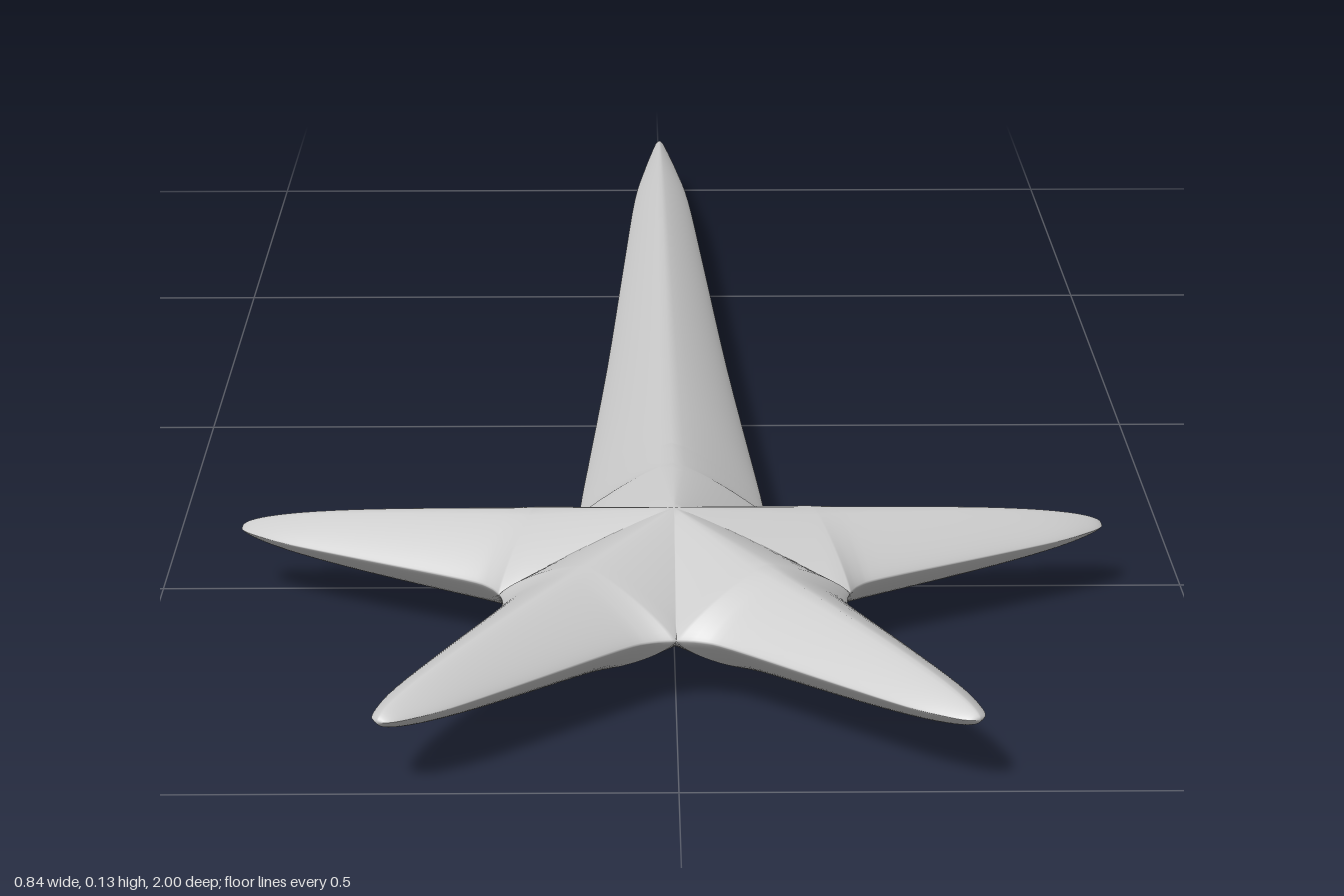
import * as THREE from 'three';
import { mergeGeometries, mergeVertices } from 'three/addons/utils/BufferGeometryUtils.js';

const MID = 0.07, HALF = 0.067, HUB_Z = 0.643;
const TAN = Math.tan(Math.PI / 5), VALLEY = 0.139;
const SHORT = 0.441, LONG = 1.643, ACROSS = 24;

// half outlines of the arms: distance from the hub, half width
const shortOutline = [[VALLEY, VALLEY * TAN], [0.155, 0.085], [0.185, 0.073], [0.3, 0.05],
  [0.38, 0.033], [0.42, 0.019], [0.437, 0.009], [SHORT, 0]];
const longOutline = [[VALLEY, VALLEY * TAN], [0.155, 0.093], [0.2, 0.09], [0.26, 0.087], [0.64, 0.066],
  [1.04, 0.048], [1.34, 0.034], [1.49, 0.021], [1.6, 0.009], [1.637, 0.004], [LONG, 0]];

// height of the ridge above the mid plane
function ridge(d, length) {
  const s = Math.min(d / length, 1);
  return HALF * (1 - 0.72 * s) * Math.sqrt(1 - s ** 8);
}

// stations along an arm: a wedge out to the valleys, then the tapering outline
function stations(outline) {
  const list = [];
  for (let i = 0; i < 10; i++) {
    const d = VALLEY * i / 10;
    list.push({ d, w: d * TAN, full: VALLEY * TAN });
  }
  const curve = new THREE.SplineCurve(outline.map(([d, w]) => new THREE.Vector2(d, w)));
  for (const p of curve.getPoints((outline.length - 1) * 4)) {
    const w = Math.max(p.y, 0);
    list.push({ d: p.x, w, full: Math.max(w, 1e-6) });
  }
  return list;
}

// upper (sign 1) or lower (sign -1) skin of one arm
function armSkin(outline, length, angle, sign) {
  const rows = stations(outline), pos = [], index = [];
  const sin = Math.sin(angle), cos = Math.cos(angle);
  for (const { d, w, full } of rows) {
    for (let j = 0; j <= ACROSS; j++) {
      const v = -Math.cos(Math.PI * j / ACROSS), p = v * w;
      // rounded diamond section, matched to the neighbouring arm at the valley
      const a = Math.min(Math.abs(p) / full, 1);
      const section = Math.max(0, 1 - a ** 1.25) ** 0.8;
      const blend = v * v * THREE.MathUtils.clamp(1 - (d - VALLEY) / 0.2, 0, 1);
      const top = THREE.MathUtils.lerp(ridge(d, length), ridge(d, SHORT), blend);
      pos.push(sin * d + cos * p, sign * top * section, -cos * d + sin * p);
    }
  }
  const n = ACROSS + 1;
  for (let i = 0; i < rows.length - 1; i++) {
    for (let j = 0; j < ACROSS; j++) {
      const a = i * n + j, b = a + 1, c = a + n, e = c + 1;
      if (sign > 0) index.push(a, b, c, b, e, c);
      else index.push(a, c, b, b, c, e);
    }
  }
  const g = new THREE.BufferGeometry();
  g.setAttribute('position', new THREE.Float32BufferAttribute(pos, 3));
  g.setIndex(index);
  return g;
}

export function createModel() {
  const group = new THREE.Group();
  const skins = [];
  // arm 0 is the long one pointing back, the other four are short
  for (let k = 0; k < 5; k++) {
    const angle = k * Math.PI * 2 / 5;
    for (const sign of [1, -1]) {
      skins.push(k === 0 ? armSkin(longOutline, LONG, angle, sign) : armSkin(shortOutline, SHORT, angle, sign));
    }
  }
  // weld the arms into one smooth body
  const geometry = mergeVertices(mergeGeometries(skins), 1e-5);
  geometry.computeVertexNormals();
  const star = new THREE.Mesh(geometry, new THREE.MeshStandardMaterial({ color: 0xcccccc }));
  star.name = 'longArmedStar';
  star.position.set(0, MID, HUB_Z);
  group.add(star);
  return group;
}
